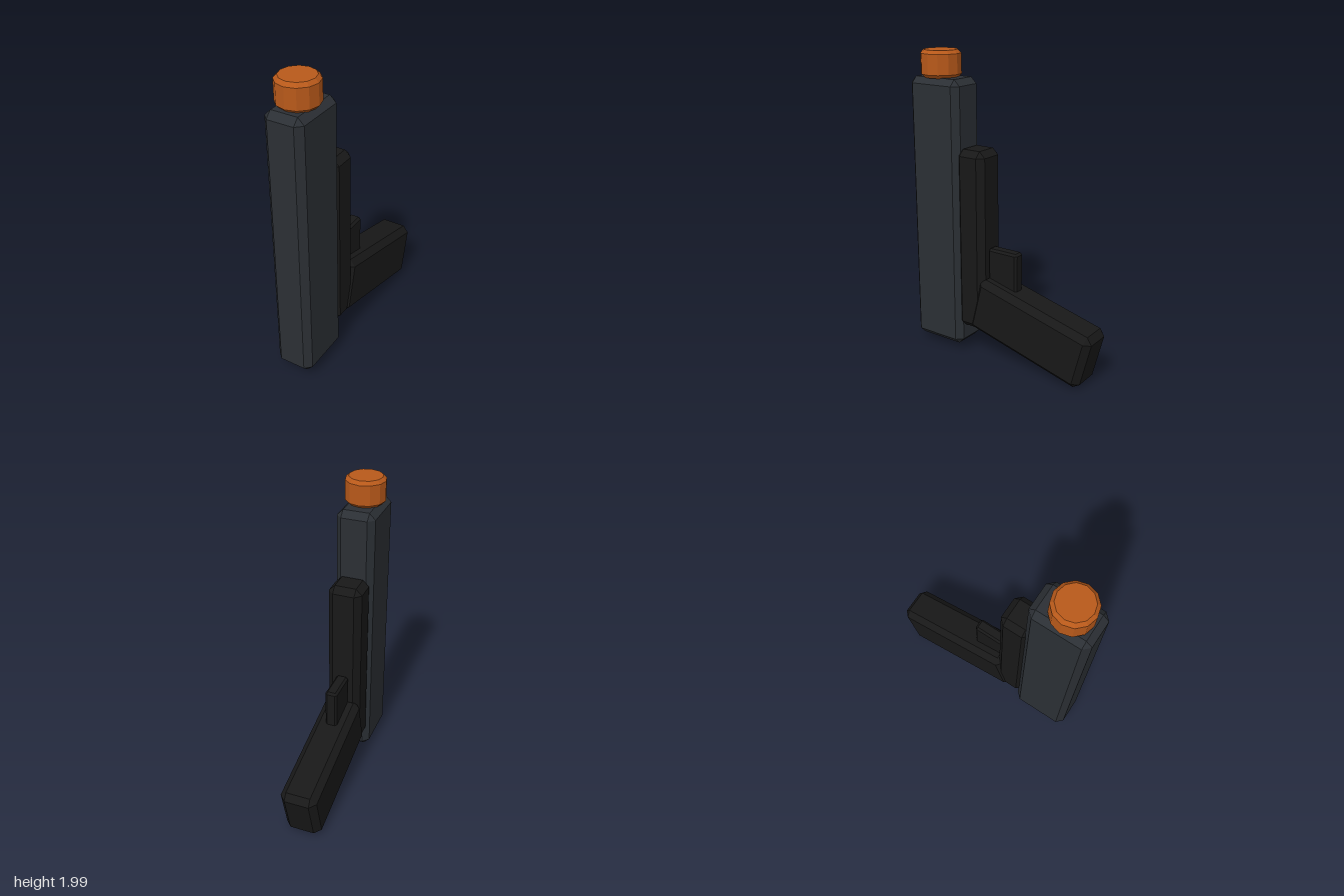
import * as THREE from 'three';
import { ConvexGeometry } from 'three/addons/geometries/ConvexGeometry.js';

const paint = (color) => new THREE.MeshStandardMaterial({ color, flatShading: true });

// Box with every edge cut at 45 degrees by c
function chamferBox(w, h, d, c) {
  const pts = [];
  for (const sx of [-1, 1]) for (const sy of [-1, 1]) for (const sz of [-1, 1]) {
    for (let axis = 0; axis < 3; axis++) {
      const half = [w, h, d].map((s, i) => s / 2 - (i === axis ? 0 : c));
      pts.push(new THREE.Vector3(sx * half[0], sy * half[1], sz * half[2]));
    }
  }
  return new ConvexGeometry(pts);
}

export function createModel() {
  const group = new THREE.Group();
  const steel = paint(0x2b2f34);
  const black = paint(0x181818);
  const orange = paint(0xb8591a);

  const add = (name, geometry, material, y, z, tilt = 0) => {
    const mesh = new THREE.Mesh(geometry, material);
    mesh.name = name;
    mesh.position.set(0, y, z);
    mesh.rotation.x = tilt;
    group.add(mesh);
  };

  // Main body, standing on end with the muzzle up
  add('slide', chamferBox(0.25, 1.78, 0.387, 0.04), steel, 0.942, 0.487);
  add('frame', chamferBox(0.22, 1.205, 0.208, 0.04), black, 0.8, 0.22);

  // Tilted handle and the trigger in front of it
  add('grip', chamferBox(0.24, 0.375, 0.86, 0.04), black, 0.287, -0.225, -0.25);
  add('trigger', chamferBox(0.08, 0.32, 0.22, 0.014), black, 0.605, 0.01);

  // Twelve-sided muzzle cap with bevelled rims
  const profile = [[0, 0], [0.108, 0], [0.13, 0.022], [0.13, 0.15], [0.108, 0.172], [0, 0.172]]
    .map(([r, y]) => new THREE.Vector2(r, y));
  add('muzzleCap', new THREE.LatheGeometry(profile, 12), orange, 1.828, 0.505);

  return group;
}
